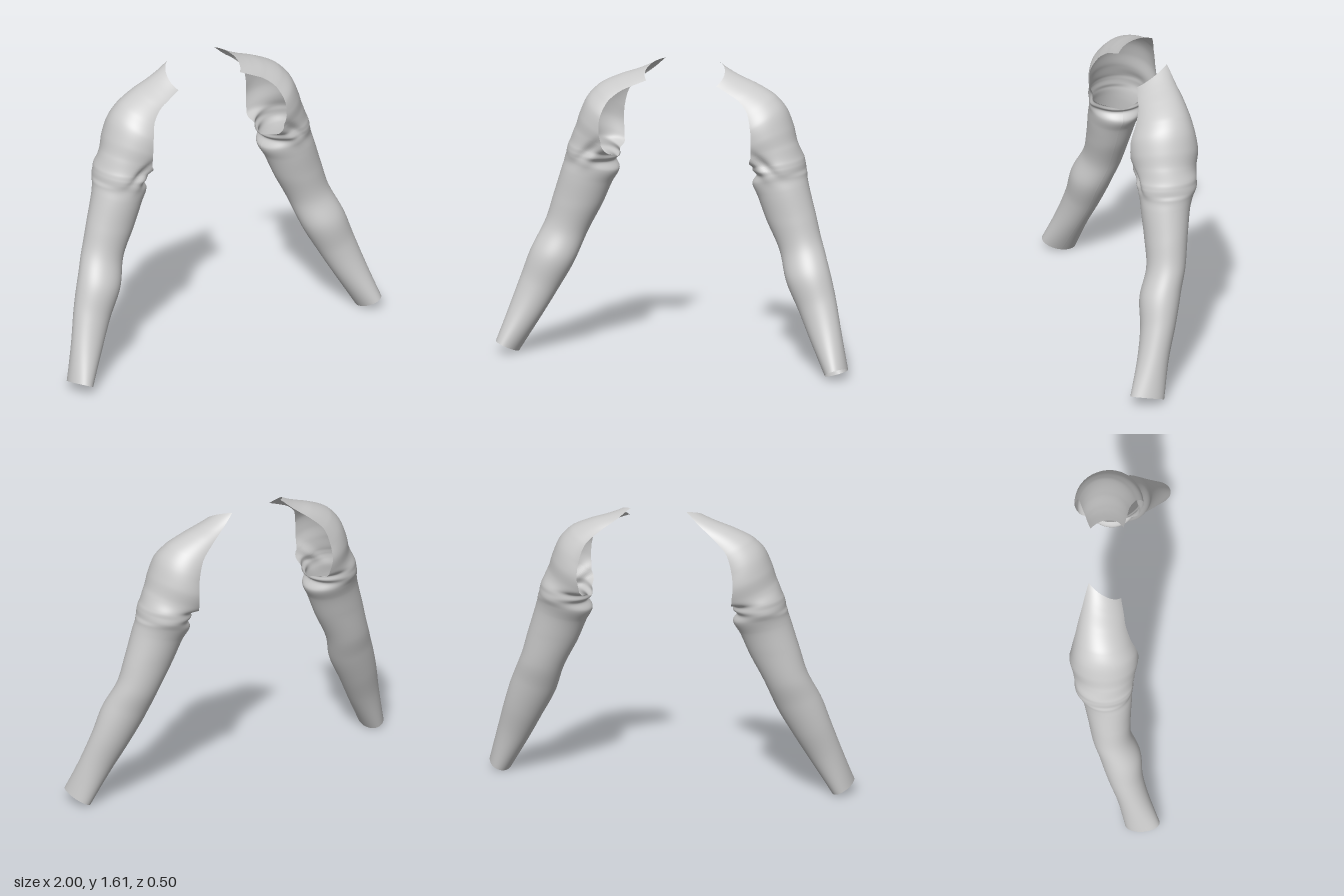
import * as THREE from 'three';

const V = (x, y, z) => new THREE.Vector3(x, y, z);

// Closed section of the arm: outer point, inner point, front and back depth, tilt of the front
function tubeSection([ox, oy, ix, iy, front, back, tilt = 0]) {
  const z = (front + back) / 2;
  return {
    centre: V((ox + ix) / 2, (oy + iy) / 2, z),
    out: V((ox - ix) / 2, (oy - iy) / 2, 0),
    fwd: V(0, tilt, (front - back) / 2),
    arc: V(Math.PI, 0, 0),
  };
}

// Open section of the shoulder: an elliptical arc from front edge over the crest to back edge
function openSection([crest, front, back, a]) {
  const o = V(...crest), f = V(...front), b = V(...back);
  const mid = f.clone().add(b).multiplyScalar(0.5);
  const out = o.clone().sub(mid).divideScalar(1 - Math.cos(a));
  return {
    centre: o.clone().sub(out),
    out,
    fwd: f.sub(b).divideScalar(2 * Math.sin(a)),
    arc: V(a, 0, 0),
  };
}

// Cuff up to the underarm fold
const arm = [
  [1.0, 0.06, 0.885, 0.01, 0.25, 0.065, 0.02],
  [0.945, 0.25, 0.778, 0.19, 0.19, 0.02, 0.01],
  [0.895, 0.42, 0.695, 0.34, 0.155, -0.035],
  [0.845, 0.57, 0.61, 0.50, 0.14, -0.08],
  [0.79, 0.70, 0.56, 0.64, 0.09, -0.12],
  [0.745, 0.85, 0.475, 0.81, 0.085, -0.148],
  [0.70, 1.0, 0.425, 0.93, 0.09, -0.175],
  [0.685, 1.06, 0.39, 1.0, 0.09, -0.2],
  [0.675, 1.09, 0.415, 1.05, 0.095, -0.215],
  [0.67, 1.12, 0.392, 1.072, 0.1, -0.22],
].map(tubeSection);

// Armhole up and over the shoulder to the neckline
const shoulder = [
  [[0.66, 1.15, -0.065], [0.41, 1.1, 0.03], [0.41, 1.1, -0.14], 2.58],
  [[0.63, 1.22, -0.065], [0.43, 1.16, 0.105], [0.42, 1.14, -0.23], 1.8],
  [[0.60, 1.31, -0.07], [0.437, 1.24, 0.12], [0.43, 1.23, -0.25], 1.6],
  [[0.56, 1.40, -0.075], [0.43, 1.32, 0.115], [0.42, 1.32, -0.24], 1.5],
  [[0.50, 1.465, -0.08], [0.40, 1.40, 0.08], [0.39, 1.41, -0.225], 1.3],
  [[0.40, 1.515, -0.085], [0.34, 1.455, 0.05], [0.32, 1.48, -0.205], 1.2],
  [[0.30, 1.55, -0.075], [0.27, 1.49, 0.035], [0.235, 1.545, -0.18], 1.05],
  [[0.22, 1.578, -0.06], [0.20, 1.52, 0.02], [0.155, 1.613, -0.155], 0.9],
].map(openSection);

const sections = [...arm, ...shoulder];
const track = (key) => new THREE.CatmullRomCurve3(sections.map((s) => s[key]));
const tracks = { centre: track('centre'), out: track('out'), fwd: track('fwd'), arc: track('arc') };

// Shallow diagonal pull fold running down from the front of the underarm
function fold(p) {
  if (p.z < -0.04) return 0;
  const along = (p.x - 0.5) * 0.77 - (p.y - 1.13) * 0.64;
  const across = (p.x - 0.5) * 0.64 + (p.y - 1.13) * 0.77;
  const wave = Math.exp(-((across / 0.022) ** 2)) - 0.6 * Math.exp(-(((across + 0.05) / 0.025) ** 2));
  return -0.018 * wave * Math.exp(-((along / 0.08) ** 2)) * Math.min(1, (p.z + 0.04) / 0.08);
}

function sleeveGeometry(side) {
  const rows = 136, cols = 64, positions = [], index = [];
  for (let i = 0; i <= rows; i++) {
    const t = i / rows;
    const c = tracks.centre.getPoint(t), u = tracks.out.getPoint(t), w = tracks.fwd.getPoint(t);
    const a = Math.min(Math.PI, tracks.arc.getPoint(t).x);
    for (let j = 0; j <= cols; j++) {
      const phi = a * ((2 * j) / cols - 1);
      const p = c.clone().addScaledVector(u, Math.cos(phi)).addScaledVector(w, Math.sin(phi));
      p.z += fold(p);
      positions.push(side * p.x, p.y, p.z);
      if (i < rows && j < cols) {
        const k = i * (cols + 1) + j, up = k + cols + 1;
        if (side > 0) index.push(k, up, k + 1, k + 1, up, up + 1);
        else index.push(k, k + 1, up, k + 1, up + 1, up);
      }
    }
  }
  const geometry = new THREE.BufferGeometry();
  geometry.setAttribute('position', new THREE.Float32BufferAttribute(positions, 3));
  geometry.setIndex(index);
  geometry.computeVertexNormals();
  return geometry;
}

export function createModel() {
  const model = new THREE.Group();
  model.name = 'sleeves';
  const cloth = new THREE.MeshStandardMaterial({ color: 0xcccccc, side: THREE.DoubleSide });
  for (const [name, side] of [['leftSleeve', 1], ['rightSleeve', -1]]) {
    const sleeve = new THREE.Mesh(sleeveGeometry(side), cloth);
    sleeve.name = name;
    model.add(sleeve);
  }
  return model;
}
